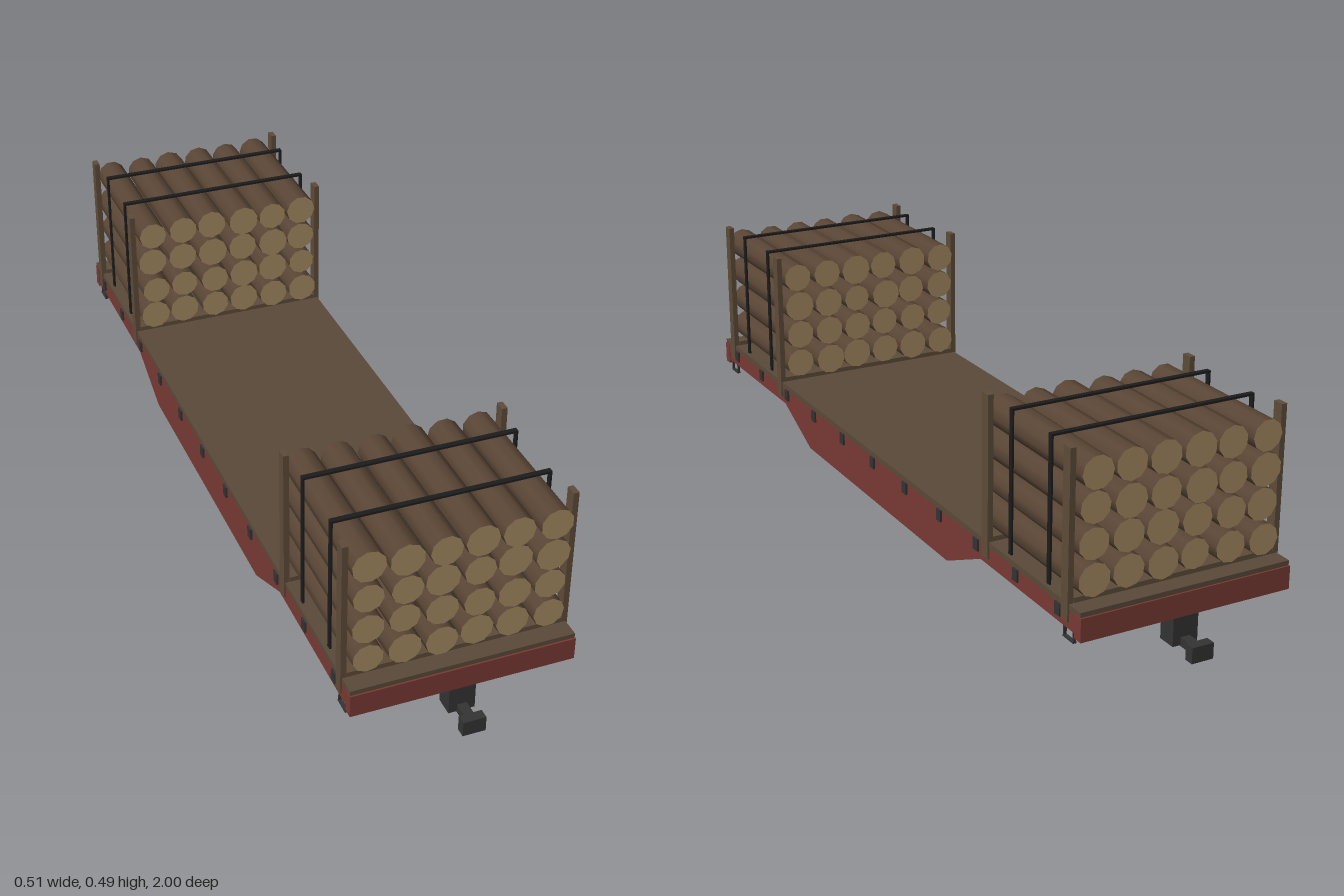
import * as THREE from 'three';

export function createModel() {
  const root = new THREE.Group();
  root.name = 'flatWagon';
  const mat = (name, color, side = THREE.FrontSide) => {
    const m = new THREE.MeshStandardMaterial({ color, side });
    m.name = name;
    return m;
  };
  const wood = mat('deckWood', 0x5a4a39);
  const stakeWood = mat('stakeWood', 0x5e4c39);
  const bark = mat('bark', 0x594535);
  const cut = mat('cutWood', 0xa58a62);
  const red = mat('redPaint', 0x793a34);
  const iron = mat('darkIron', 0x343434);
  const steel = mat('wheelSteel', 0x5c5c62);
  const strapMat = mat('strapBlack', 0x1c1c1c);

  let seed = 7;
  const rand = () => (seed = (seed * 16807) % 2147483647) / 2147483647;

  const add = (parent, name, geo, m, x = 0, y = 0, z = 0) => {
    const mesh = new THREE.Mesh(geo, m);
    mesh.name = name;
    mesh.position.set(x, y, z);
    parent.add(mesh);
    return mesh;
  };
  // box given by its limits on each axis
  const box = (parent, name, m, x0, x1, y0, y1, z0, z1) =>
    add(parent, name, new THREE.BoxGeometry(x1 - x0, y1 - y0, z1 - z0), m,
      (x0 + x1) / 2, (y0 + y1) / 2, (z0 + z1) / 2);
  const cylX = (parent, name, m, r, len, x, y, z, n = 16) =>
    add(parent, name, new THREE.CylinderGeometry(r, r, len, n).rotateZ(Math.PI / 2), m, x, y, z);

  // deck and underframe
  box(root, 'deck', wood, -0.252, 0.252, 0.146, 0.159, -0.938, 0.938);
  box(root, 'centreSill', iron, -0.022, 0.022, 0.092, 0.146, -0.9, 0.9);

  // fish-bellied side sills
  const belly = new THREE.Shape();
  [[-0.93, 0.148], [-0.93, 0.104], [-0.53, 0.104], [-0.375, 0.034],
    [0.375, 0.034], [0.53, 0.104], [0.93, 0.104], [0.93, 0.148]]
    .forEach(([z, y], i) => (i ? belly.lineTo(z, y) : belly.moveTo(z, y)));
  const sillGeo = new THREE.ExtrudeGeometry(belly, { depth: 0.022, bevelEnabled: false });
  sillGeo.rotateY(-Math.PI / 2).translate(0.011, 0, 0);

  for (const s of [-1, 1]) {
    add(root, 'sideSill', sillGeo, red, s * 0.24, 0, 0);
    // stake pockets along the sill
    for (let i = -5; i <= 5; i++) {
      add(root, 'stakePocket', new THREE.BoxGeometry(0.009, 0.028, 0.02), iron,
        s * 0.2515, 0.133, i * 0.171);
    }
  }

  // flanged wheel profile, revolved about the axle
  const wheelGeo = new THREE.LatheGeometry([
    [0, 0.01], [0.012, 0.01], [0.014, 0.005], [0.034, 0.005], [0.036, 0.012],
    [0.044, 0.012], [0.045, -0.007], [0.051, -0.008], [0.051, -0.012],
    [0.036, -0.012], [0.032, -0.005], [0.012, -0.005], [0, -0.005],
  ].reverse().map(([r, y]) => new THREE.Vector2(r, y)), 24)
    .toNonIndexed().rotateZ(-Math.PI / 2);
  wheelGeo.computeVertexNormals();

  function makeTruck() {
    const g = new THREE.Group();
    g.name = 'truck';
    box(g, 'bolster', iron, -0.15, 0.15, 0.045, 0.09, -0.025, 0.025);
    cylX(g, 'centrePlate', iron, 0.03, 0.03, 0, 0, 0).rotation.z = Math.PI / 2;
    g.children.at(-1).position.y = 0.1;
    for (const z of [-0.078, 0.078]) {
      cylX(g, 'axle', iron, 0.012, 0.28, 0, 0.051, z, 12);
      for (const s of [-1, 1]) {
        const wheel = add(g, 'wheel', wheelGeo, steel, s * 0.13, 0.051, z);
        if (s < 0) wheel.rotation.y = Math.PI;
        cylX(g, 'journal', iron, 0.02, 0.02, s * 0.159, 0.051, z);
        box(g, 'journalBox', iron, s * 0.155 - 0.01, s * 0.155 + 0.01, 0.032, 0.076, z - 0.022, z + 0.022);
      }
    }
    for (const s of [-1, 1]) {
      const x = s * 0.155;
      box(g, 'frameTop', iron, x - 0.009, x + 0.009, 0.066, 0.082, -0.085, 0.085);
      box(g, 'frameBottom', iron, x - 0.008, x + 0.008, 0.026, 0.038, -0.05, 0.05);
      for (const z of [-0.04, 0.04]) {
        box(g, 'framePost', iron, x - 0.008, x + 0.008, 0.03, 0.074, z - 0.008, z + 0.008);
      }
      for (const z of [-0.016, 0, 0.016]) {
        add(g, 'spring', new THREE.CylinderGeometry(0.007, 0.007, 0.036, 8), iron, x, 0.05, z);
      }
      box(g, 'bolsterEnd', iron, x - 0.012, x + 0.014, 0.062, 0.09, -0.022, 0.022);
    }
    return g;
  }

  // bound stack of logs with stakes, bearers and straps
  function makeLoad() {
    const g = new THREE.Group();
    g.name = 'logLoad';
    for (let row = 0; row < 4; row++) {
      for (let col = 0; col < 6; col++) {
        const r = 0.0355 + rand() * 0.0035;
        const len = 0.368 + rand() * 0.014;
        const geo = new THREE.CylinderGeometry(r, r * (0.95 + rand() * 0.05), len, 10);
        geo.rotateY(rand() * 6.28).rotateX(rand() < 0.5 ? Math.PI / 2 : -Math.PI / 2);
        add(g, 'log', geo, [bark, cut, cut],
          (col - 2.5) * 0.0805 + (rand() - 0.5) * 0.004, 0.207 + row * 0.0765, (rand() - 0.5) * 0.008);
      }
    }
    for (const z of [-0.163, 0.163]) {
      box(g, 'bearer', stakeWood, -0.242, 0.242, 0.158, 0.17, z - 0.013, z + 0.013);
      for (const s of [-1, 1]) {
        box(g, 'stake', stakeWood, s * 0.249 - 0.0065, s * 0.249 + 0.0065, 0.12, 0.491, z - 0.013, z + 0.013);
      }
    }
    for (const z of [-0.078, 0.078]) {
      box(g, 'strapTop', strapMat, -0.242, 0.242, 0.48, 0.485, z - 0.006, z + 0.006);
      for (const s of [-1, 1]) {
        box(g, 'strapSide', strapMat, s * 0.2405 - 0.0022, s * 0.2405 + 0.0022, 0.158, 0.485, z - 0.006, z + 0.006);
      }
    }
    return g;
  }

  // both ends carry the same fittings
  for (const e of [1, -1]) {
    const end = new THREE.Group();
    end.name = e > 0 ? 'frontEnd' : 'backEnd';
    if (e < 0) end.rotation.y = Math.PI;
    root.add(end);

    box(end, 'endBeam', red, -0.253, 0.253, 0.095, 0.148, 0.918, 0.942);
    const truck = makeTruck();
    truck.position.z = 0.687;
    const load = makeLoad();
    load.position.z = 0.719;
    end.add(truck, load);

    // coupler
    box(end, 'couplerPocket', iron, -0.03, 0.03, 0.028, 0.096, 0.892, 0.937);
    box(end, 'couplerShank', iron, -0.011, 0.011, 0.026, 0.046, 0.93, 0.985);
    box(end, 'couplerHead', iron, -0.026, 0.026, 0.018, 0.054, 0.977, 1.0);

    // corner steps
    for (const s of [-1, 1]) {
      const x = s * 0.246;
      box(end, 'stepTread', iron, x - 0.004, x + 0.004, 0.078, 0.082, 0.87, 0.91);
      for (const z of [0.872, 0.908]) {
        box(end, 'stepHanger', iron, x - 0.003, x + 0.003, 0.079, 0.106, z - 0.002, z + 0.002);
      }
    }
  }
  return root;
}
